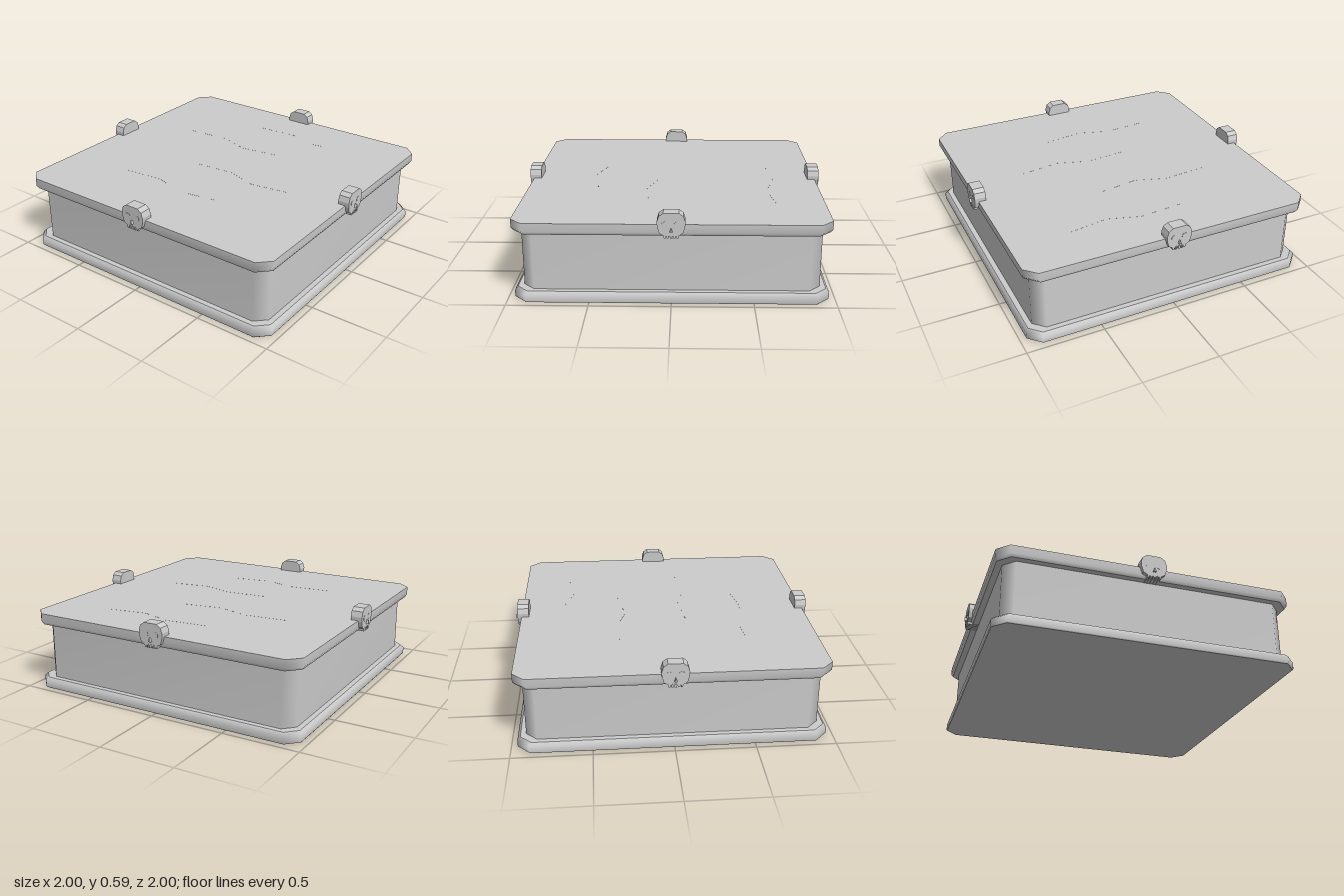
import * as THREE from 'three';

const stone = new THREE.MeshStandardMaterial({ color: 0xcccccc });
const flatStone = new THREE.MeshStandardMaterial({ color: 0xcccccc, flatShading: true });

// Square outline with cut corners, running from +x towards +z
function outline(h, c) {
  const k = h - c;
  return [[h, -k], [h, k], [k, h], [-k, h], [-h, k], [-h, -k], [-k, -h], [k, -h]];
}

// Stacks cut-corner squares [half width, corner cut, height]: smooth sides, flat caps
function slab(name, levels) {
  const pos = [], idx = [];
  const ring = ([h, c, y]) => outline(h, c).forEach(([x, z]) => pos.push(x, y, z));
  levels.forEach(ring);
  for (let l = 0; l < levels.length - 1; l++) {
    for (let i = 0; i < 8; i++) {
      const a = l * 8 + i, b = l * 8 + (i + 1) % 8;
      idx.push(a, a + 8, b, b, a + 8, b + 8);
    }
  }
  for (const top of [false, true]) {
    const s = pos.length / 3;
    ring(top ? levels[levels.length - 1] : levels[0]);
    for (let i = 1; i < 7; i++) {
      if (top) idx.push(s, s + i + 1, s + i);
      else idx.push(s, s + i, s + i + 1);
    }
  }
  const g = new THREE.BufferGeometry();
  g.setAttribute('position', new THREE.Float32BufferAttribute(pos, 3));
  g.setIndex(idx);
  g.computeVertexNormals();
  const m = new THREE.Mesh(g, stone);
  m.name = name;
  return m;
}

function extruded(name, points, depth, z) {
  const shape = new THREE.Shape(points.map(([x, y]) => new THREE.Vector2(x, y)));
  const g = new THREE.ExtrudeGeometry(shape, { depth, bevelEnabled: false });
  g.translate(0, 0, z);
  const m = new THREE.Mesh(g, flatStone);
  m.name = name;
  return m;
}

// Skull ornament facing +z, clamped over the lid edge
function makeSkull() {
  const skull = new THREE.Group();
  const right = [
    [0.007, 0.435], [0.007, 0.448], [0.014, 0.448], [0.014, 0.435], [0.026, 0.435],
    [0.026, 0.448], [0.032, 0.448], [0.032, 0.435], [0.042, 0.435], [0.045, 0.452],
    [0.07, 0.466], [0.082, 0.505], [0.084, 0.535], [0.073, 0.57], [0.046, 0.59],
  ];
  const left = right.map(([x, y]) => [-x, y]).reverse();
  skull.add(extruded('skullHead', [...right, ...left], 0.075, 0.91));
  skull.add(extruded('skullNose', [[-0.009, 0.476], [0.009, 0.476], [0, 0.502]], 0.018, 0.982));
  // Shallow eye discs and tooth row
  for (const s of [-1, 1]) {
    const eye = new THREE.Mesh(new THREE.CylinderGeometry(0.019, 0.019, 0.003, 10), flatStone);
    eye.rotation.x = Math.PI / 2;
    eye.position.set(s * 0.036, 0.52, 0.985);
    eye.name = 'skullEye';
    skull.add(eye);
    for (const x of [0.0035, 0.02]) {
      const tooth = new THREE.Mesh(new THREE.BoxGeometry(0.007, 0.02, 0.006), flatStone);
      tooth.position.set(s * x, 0.447, 0.986);
      tooth.name = 'skullTooth';
      skull.add(tooth);
    }
  }
  return skull;
}

// Hairline crack: a thin zigzag strip lying on the lid
function makeCrack(cx, cz) {
  const path = [[0, 0.375], [-0.04, 0.115], [0.025, -0.09], [0, -0.38]];
  const w = 0.003;
  const points = [
    ...path.map(([x, z]) => [x - w, -z]),
    ...path.map(([x, z]) => [x + w, -z]).reverse(),
  ];
  const crack = extruded('crack', points, 0.002, 0);
  crack.rotation.x = -Math.PI / 2;
  crack.position.set(cx, 0.5105, cz);
  return crack;
}

export function createModel() {
  const model = new THREE.Group();
  model.name = 'stonePlinth';

  model.add(slab('base', [[0.955, 0.075, 0], [0.96, 0.075, 0.008], [0.96, 0.075, 0.048], [0.942, 0.07, 0.068]]));
  model.add(slab('body', [[0.908, 0.07, 0.06], [0.908, 0.07, 0.45]]));
  model.add(slab('lid', [[0.948, 0.075, 0.438], [0.96, 0.075, 0.458], [0.96, 0.075, 0.512]]));

  // One skull in the middle of each side
  ['front', 'left', 'back', 'right'].forEach((side, i) => {
    const skull = makeSkull();
    skull.name = side + 'Skull';
    skull.rotation.y = i * Math.PI / 2;
    model.add(skull);
  });

  for (const [x, z] of [[-0.5, -0.12], [-0.14, 0.2], [0.3, -0.18], [0.65, 0.19]]) {
    model.add(makeCrack(x, z));
  }
  return model;
}
